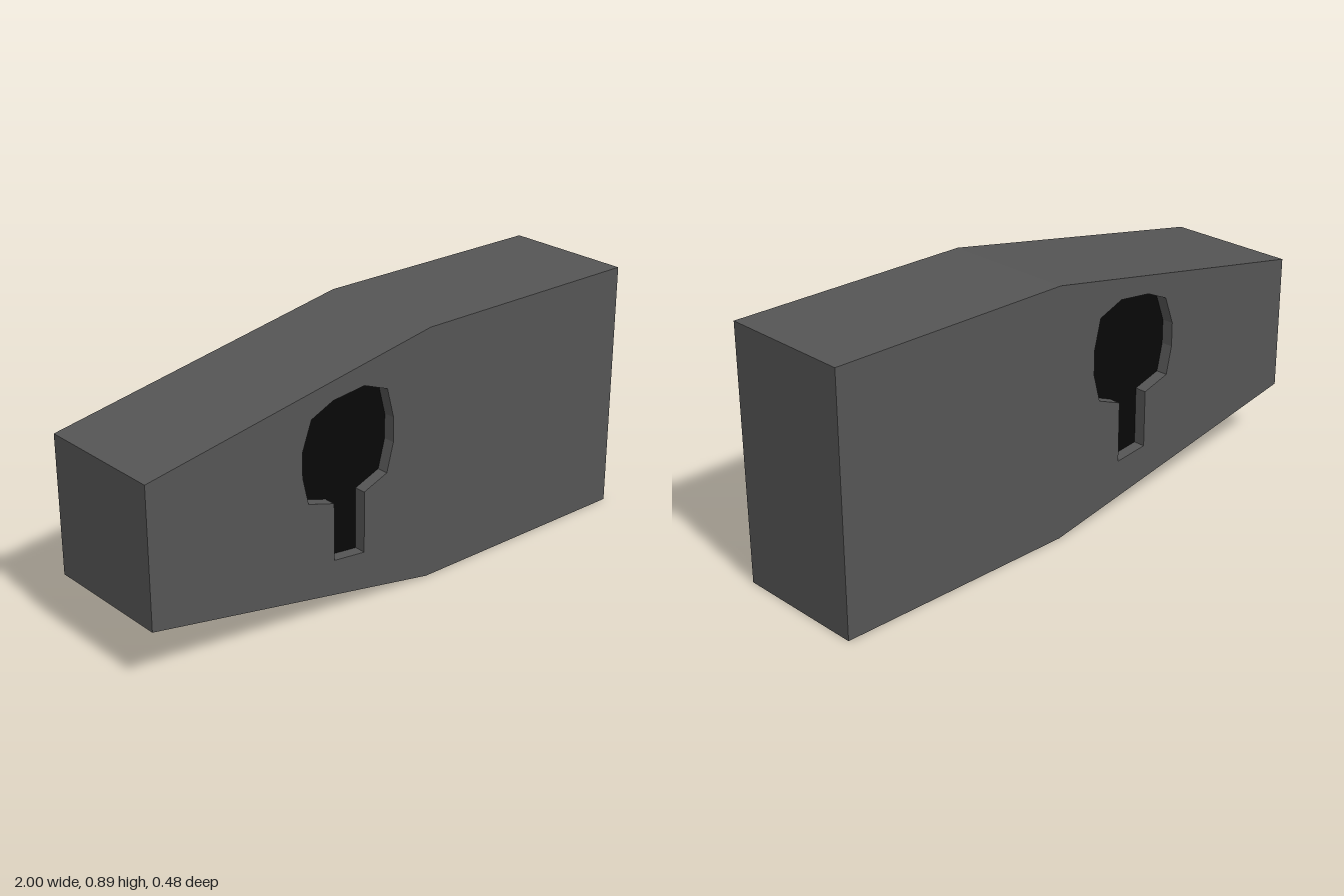
import * as THREE from 'three';
import { mergeGeometries } from 'three/addons/utils/BufferGeometryUtils.js';

const HALF = 0.238;   // half thickness of the block
const FLOOR = 0.196;  // z of the recess floor

// Counter-clockwise outline of the tapered block
const outline = [[-1, 0.207], [0.11, 0], [1, 0], [1, 0.893], [0.11, 0.893], [-1, 0.69]];

// Clockwise keyhole outline, so its walls face into the recess
const keyhole = [
  [-0.42, 0.615], [-0.383, 0.715], [-0.296, 0.754], [-0.168, 0.769], [-0.072, 0.732],
  [-0.045, 0.626], [-0.045, 0.54], [-0.072, 0.44], [-0.168, 0.402], [-0.168, 0.186],
  [-0.294, 0.2], [-0.294, 0.402], [-0.398, 0.433], [-0.42, 0.53],
];

const toVectors = (pts) => pts.map(([x, y]) => new THREE.Vector2(x, y));

// Band of flat quads along a closed outline between two depths
function wall(pts, z0, z1) {
  const pos = [];
  pts.forEach(([ax, ay], i) => {
    const [bx, by] = pts[(i + 1) % pts.length];
    pos.push(ax, ay, z0, bx, by, z0, bx, by, z1, ax, ay, z0, bx, by, z1, ax, ay, z1);
  });
  const geo = new THREE.BufferGeometry();
  geo.setAttribute('position', new THREE.Float32BufferAttribute(pos, 3));
  geo.computeVertexNormals();
  return geo;
}

// Flat cap at depth z, turned to face backwards when z is negative
function cap(shape, z) {
  const geo = new THREE.ShapeGeometry(shape);
  if (z < 0) geo.index.array.reverse();
  const flat = geo.toNonIndexed();
  flat.deleteAttribute('uv');
  flat.translate(0, 0, z);
  flat.computeVertexNormals();
  return flat;
}

export function createModel() {
  const group = new THREE.Group();
  group.name = 'taperedBlock';
  const bodyMaterial = new THREE.MeshStandardMaterial({ color: 0x555555, flatShading: true });
  const darkMaterial = new THREE.MeshStandardMaterial({ color: 0x080808, flatShading: true });

  const add = (name, geometry, material) => {
    const mesh = new THREE.Mesh(geometry, material);
    mesh.name = name;
    group.add(mesh);
  };

  const face = new THREE.Shape(toVectors(outline));
  face.holes.push(new THREE.Path(toVectors(keyhole)));
  const opening = new THREE.Shape(toVectors(keyhole));

  // Block with a shallow keyhole recess cut in both faces
  add('body', mergeGeometries([
    wall(outline, -HALF, HALF),
    cap(face, HALF), cap(face, -HALF),
    wall(keyhole, FLOOR, HALF), wall(keyhole, -HALF, -FLOOR),
  ]), bodyMaterial);

  // Dark floors of the recesses
  add('frontKeyholeFloor', cap(opening, FLOOR), darkMaterial);
  add('backKeyholeFloor', cap(opening, -FLOOR), darkMaterial);

  return group;
}
